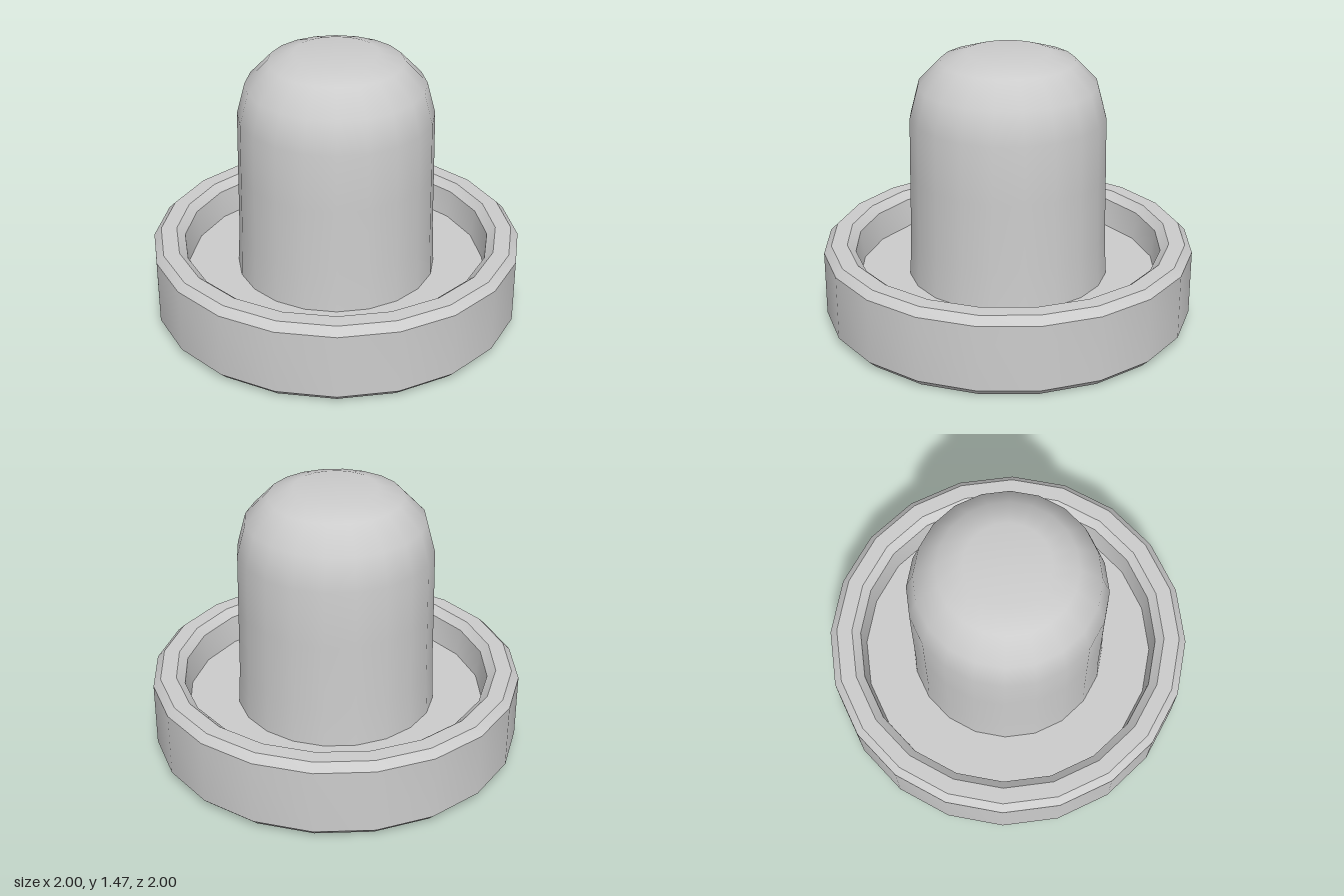
import * as THREE from 'three';
import { toCreasedNormals } from 'three/addons/utils/BufferGeometryUtils.js';

const SIDES = 20;
const FLOOR = 0.24;

// Spins a [radius, height] profile around the y axis
function lathe(profile) {
  return new THREE.LatheGeometry(profile.map(([r, y]) => new THREE.Vector2(r, y)), SIDES);
}

export function createModel() {
  const group = new THREE.Group();
  group.name = 'mallet';
  const material = new THREE.MeshStandardMaterial({ color: 0xcccccc });

  // Dish-shaped base: flat underside, chamfered rim, sunken floor
  const base = new THREE.Mesh(toCreasedNormals(lathe([
    [0, 0], [0.96, 0], [1, 0.04], [1, 0.395], [0.96, 0.435],
    [0.875, 0.435], [0.83, 0.395], [0.81, FLOOR], [0, FLOOR],
  ]), THREE.MathUtils.degToRad(30)), material);
  base.name = 'base';
  group.add(base);

  // Slightly tapered grip with a rounded top
  const handle = new THREE.Mesh(lathe([
    [0.54, FLOOR], [0.53, 0.46], [0.525, 0.82], [0.52, 1.13],
    [0.475, 1.3], [0.355, 1.425], [0.22, 1.47], [0, 1.47],
  ]), material);
  handle.name = 'handle';
  group.add(handle);

  return group;
}
